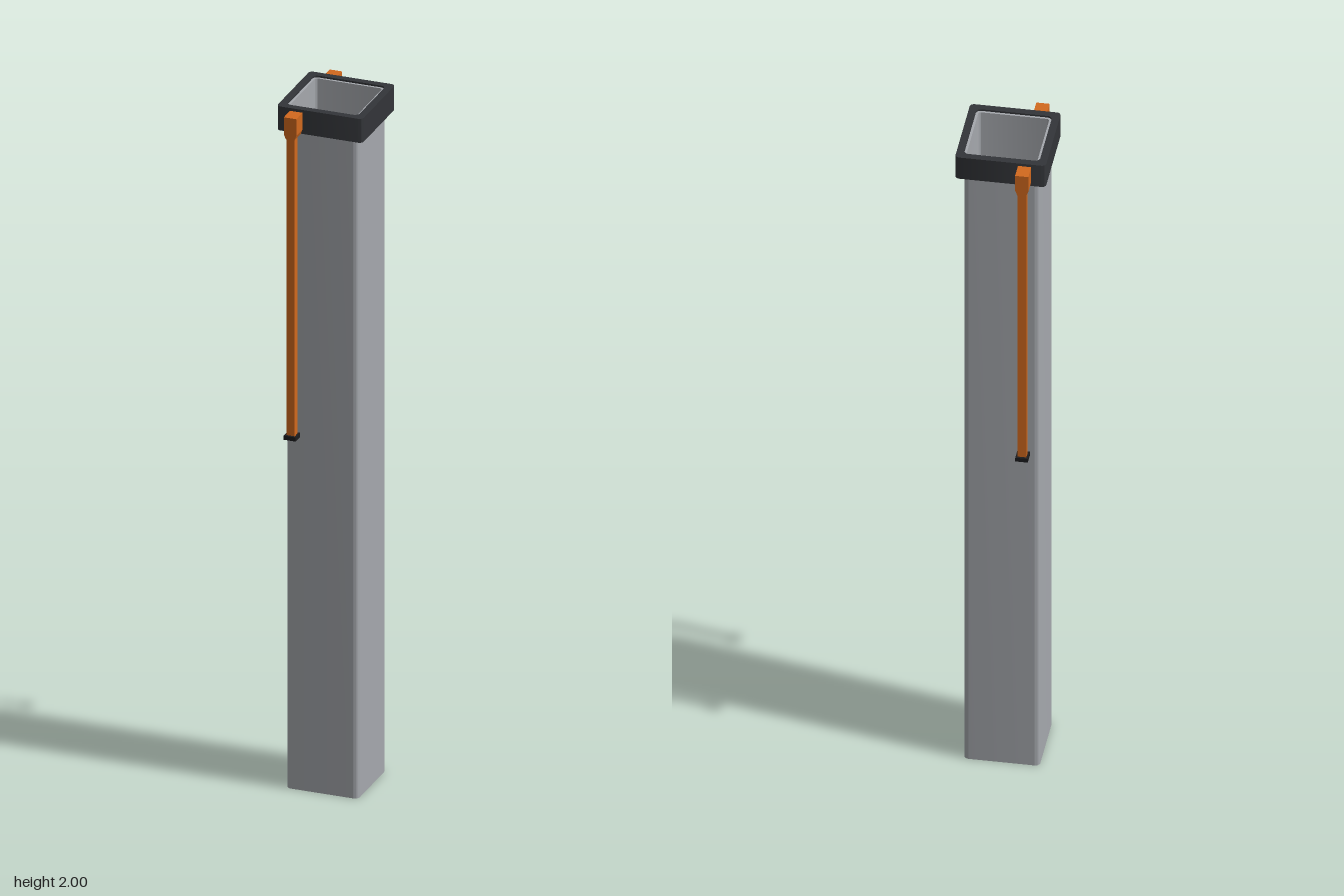
import * as THREE from 'three';
import { toCreasedNormals } from 'three/addons/utils/BufferGeometryUtils.js';

const mat = (color) => new THREE.MeshStandardMaterial({ color });

// Square outline with rounded corners; h = half width, r = corner radius
function roundedSquare(target, h, r) {
  target.moveTo(-h + r, -h);
  target.lineTo(h - r, -h);
  target.absarc(h - r, -h + r, r, -Math.PI / 2, 0);
  target.absarc(h - r, h - r, r, 0, Math.PI / 2);
  target.absarc(-h + r, h - r, r, Math.PI / 2, Math.PI);
  target.absarc(-h + r, -h + r, r, Math.PI, Math.PI * 1.5);
  return target;
}

// Hollow square section standing upright from y0 to y1
function squareTube(outer, rOut, inner, rIn, y0, y1) {
  const shape = roundedSquare(new THREE.Shape(), outer, rOut);
  shape.holes.push(roundedSquare(new THREE.Path(), inner, rIn));
  const geo = new THREE.ExtrudeGeometry(shape, { depth: y1 - y0, bevelEnabled: false, curveSegments: 8 });
  geo.rotateX(-Math.PI / 2).translate(0, y0, 0);
  return toCreasedNormals(geo, 0.6);
}

export function createModel() {
  const model = new THREE.Group();
  const grey = mat(0xa5a8ad), dark = mat(0x333539), orange = mat(0xd2691e), black = mat(0x1c1c1e);

  const add = (parent, name, geo, material) => {
    const mesh = new THREE.Mesh(geo, material);
    mesh.name = name;
    parent.add(mesh);
    return mesh;
  };
  const box = (w, h, d, x, y, z) => new THREE.BoxGeometry(w, h, d).translate(x, y, z);

  // Hollow post and the collar around its top
  add(model, 'post', squareTube(0.103, 0.014, 0.096, 0.008, 0, 1.995), grey);
  add(model, 'collar', squareTube(0.123, 0.012, 0.1028, 0.0138, 1.93, 2), dark);

  // Bracket outline: a block that narrows to the rod at the bottom
  const outline = new THREE.Shape([
    [-0.018, 1.992], [-0.018, 1.943], [-0.012, 1.928], [0.012, 1.928], [0.018, 1.943], [0.018, 1.992],
  ].map(([x, y]) => new THREE.Vector2(x, y)));

  // Hanging rods, one at the front and one at the back
  for (const side of [1, -1]) {
    const rod = new THREE.Group();
    rod.name = side > 0 ? 'frontHanger' : 'backHanger';
    const z0 = side > 0 ? 0.122 : -0.169;
    const bracket = new THREE.ExtrudeGeometry(outline, { depth: 0.047, bevelEnabled: false });
    add(rod, 'bracket', bracket.translate(0, 0, z0), orange);
    add(rod, 'rod', box(0.024, 0.88, 0.021, 0, 1.5, side * 0.155), orange);
    add(rod, 'endCap', box(0.034, 0.012, 0.034, 0, 1.056, side * 0.155), black);
    rod.position.x = -0.066;
    model.add(rod);
  }
  return model;
}
